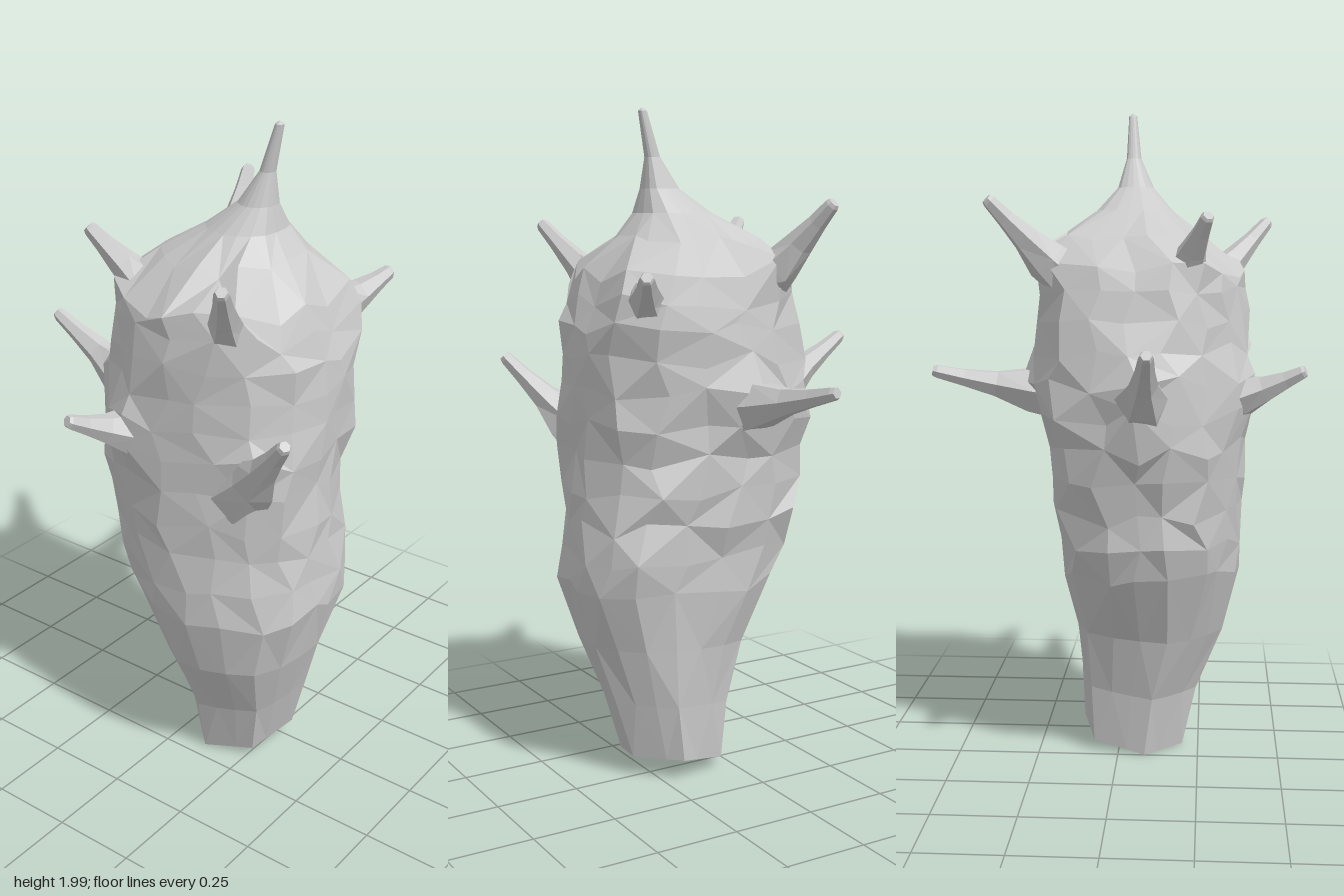
import * as THREE from 'three';

const material = new THREE.MeshStandardMaterial({ color: 0xcccccc, flatShading: true });

// Repeatable noise in -1..1
function noise(i, j) {
  const s = Math.sin(i * 127.1 + j * 311.7) * 43758.5453;
  return (s - Math.floor(s)) * 2 - 1;
}

// Joins closed rings of points into one faceted skin
function skin(rings, name) {
  const n = rings[0].length;
  const index = [];
  for (let j = 0; j < rings.length - 1; j++) {
    for (let i = 0; i < n; i++) {
      const k = (i + 1) % n;
      const a = j * n + i, b = j * n + k, c = a + n, d = b + n;
      if ((i + j) % 2) index.push(a, c, b, b, c, d);
      else index.push(a, c, d, a, d, b);
    }
  }
  let geometry = new THREE.BufferGeometry().setFromPoints(rings.flat());
  geometry.setIndex(index);
  geometry = geometry.toNonIndexed();
  geometry.computeVertexNormals();
  const mesh = new THREE.Mesh(geometry, material);
  mesh.name = name;
  return mesh;
}

// Spikes: root on the body, tip, root radius
const SPIKES = [
  [[-0.27, 1.16, 0.085], [-0.53, 1.31, 0.11], 0.085],
  [[-0.03, 1.15, 0.37], [-0.08, 1.23, 0.56], 0.075],
  [[0.35, 1.07, 0.3], [0.53, 1.27, 0.4], 0.08],
  [[0.255, 1.48, 0.28], [0.37, 1.67, 0.46], 0.08],
  [[-0.1, 1.53, 0.2], [-0.24, 1.68, 0.27], 0.08],
  [[0.34, 1.46, -0.17], [0.41, 1.53, -0.3], 0.08],
  [[0.03, 1.16, -0.24], [-0.03, 1.22, -0.56], 0.085],
  [[-0.08, 1.55, -0.19], [-0.15, 1.73, -0.37], 0.075],
].map(([root, tip, radius]) => {
  const from = new THREE.Vector3(...root), to = new THREE.Vector3(...tip);
  return { root: from, tip: to, radius, axis: to.clone().sub(from).normalize() };
});

// Body outline by height: y, xMin, xMax, zMin, zMax
const PROFILE = [
  [0.04, -0.005, 0.315, -0.125, 0.205],
  [0.22, -0.025, 0.365, -0.135, 0.25],
  [0.41, -0.08, 0.42, -0.15, 0.335],
  [0.6, -0.19, 0.465, -0.17, 0.375],
  [0.8, -0.24, 0.445, -0.2, 0.385],
  [1.0, -0.28, 0.445, -0.2, 0.39],
  [1.2, -0.28, 0.45, -0.235, 0.39],
  [1.38, -0.235, 0.445, -0.245, 0.395],
  [1.52, -0.18, 0.39, -0.22, 0.375],
  [1.62, -0.09, 0.3, -0.16, 0.25],
  [1.7, 0.03, 0.25, -0.07, 0.16],
  [1.77, 0.125, 0.235, -0.01, 0.1],
  [1.86, 0.185, 0.228, 0.015, 0.06],
  [1.99, 0.228, 0.252, 0.02, 0.045],
  [2.0, 0.24, 0.24, 0.033, 0.033],
];

function bodyRing(p, j, scale = 1, lift = 0) {
  const [y, x0, x1, z0, z1] = p;
  const n = 18;
  const low = THREE.MathUtils.clamp(1 - (y - 0.04) / 0.56, 0, 1);
  const rough = y > 0.5 && y < 1.65 ? 1 : 0;
  const ring = [];
  for (let i = 0; i < n; i++) {
    const a = ((i + 0.25 + 0.3 * rough * noise(i, j)) / n) * Math.PI * 2;
    const c = Math.cos(a), s = Math.sin(a);
    // Hexagonal at the foot; further up, square at the back and round in front
    const sector = ((a + Math.PI * 1.75) % (Math.PI / 3)) - Math.PI / 6;
    const hex = Math.cos(Math.PI / 6) / Math.cos(sector);
    const power = 2.55 - 0.8 * s + 0.15 * c;
    const boxy = (Math.abs(c) ** power + Math.abs(s) ** power) ** (-1 / power);
    let r = THREE.MathUtils.lerp(boxy, hex, low) * scale;
    r *= 1 + 0.02 * rough * noise(i + 40, j);
    // Crumpled band round the back and sides
    if (y > 0.68 && y < 1.12 && s < 0.35) r *= 1 + 0.05 * noise(i + 9, j + 5);
    const x = (x0 + x1) / 2 + ((x1 - x0) / 2) * r * c;
    const z = (z0 + z1) / 2 + ((z1 - z0) / 2) * r * s;
    const slope = low * 0.16 * (x - 0.155 - (z - 0.04));
    const yy = y + slope + lift + 0.025 * rough * noise(i, j + 70);
    const point = new THREE.Vector3(x, Math.max(0, yy), z);
    // Skin is drawn out towards each spike
    for (const spike of SPIKES) {
      const w = Math.max(0, 1 - point.distanceTo(spike.root) / 0.2);
      point.addScaledVector(spike.axis, 0.08 * w * w);
    }
    ring.push(point);
  }
  return ring;
}

function body() {
  // Recessed hollow under the foot, then the rim
  const foot = PROFILE[0];
  const rings = [
    bodyRing(foot, 0, 0, 0.1),
    bodyRing(foot, 0, 0.58, 0.1),
    bodyRing(foot, 0, 0.76, 0.01),
  ];
  // Outer skin, with extra rings through the lumpy middle
  let row = 1;
  PROFILE.forEach((p, k) => {
    rings.push(bodyRing(p, row++));
    const next = PROFILE[k + 1];
    if (p[0] > 0.55 && p[0] < 1.45) {
      rings.push(bodyRing(p.map((v, m) => (v + next[m]) / 2), row++));
    }
  });
  return skin(rings, 'body');
}

// Spike with its flared root sunk into the body
function buildSpike({ root, tip, radius, axis }, k) {
  const start = root.clone().addScaledVector(axis, -0.1);
  const bend = root.clone().lerp(tip, 0.35).add(new THREE.Vector3(0, -0.015, 0));
  const curve = new THREE.QuadraticBezierCurve3(start, bend, tip);
  const u = new THREE.Vector3(0, 1, 0).cross(axis).normalize();
  const v = axis.clone().cross(u);
  const stations = [[0, radius * 1.1], [0.3, radius * 0.85], [0.55, 0.042], [0.78, 0.028], [0.97, 0.021], [1, 0.016], [1, 0]];
  const rings = stations.map(([t, r], j) => {
    const center = curve.getPoint(t);
    return Array.from({ length: 6 }, (_, i) => {
      const a = (i / 6) * Math.PI * 2;
      const rr = r * (j < 2 ? 1 + 0.15 * noise(i + k * 7, j) : 1);
      return center.clone().addScaledVector(u, -rr * Math.cos(a)).addScaledVector(v, rr * Math.sin(a));
    });
  });
  return skin(rings, 'spike' + (k + 1));
}

export function createModel() {
  const group = new THREE.Group();
  group.name = 'spikyPod';
  group.add(body(), ...SPIKES.map(buildSpike));
  return group;
}
